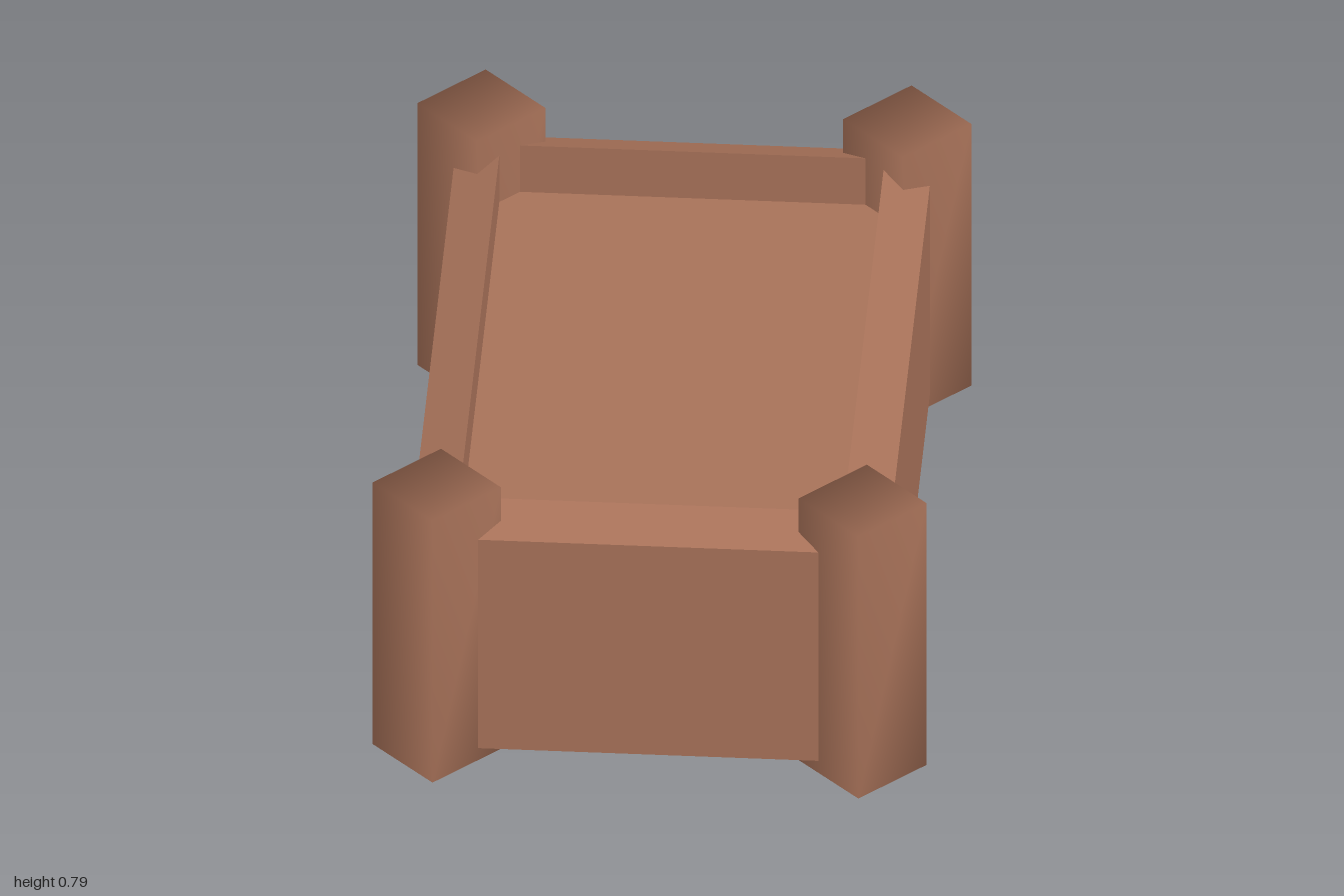
import * as THREE from 'three';
import { mergeVertices } from 'three/addons/utils/BufferGeometryUtils.js';

// Flat-faced solid from stacked rectangles [halfX, y, halfZ], capped at both ends
function rectLoft(rings) {
  const pos = [];
  const corner = ([x, y, z], i) => [[x, y, z], [x, y, -z], [-x, y, -z], [-x, y, z]][i % 4];
  const quad = (a, b, c, d) => pos.push(...a, ...b, ...c, ...a, ...c, ...d);
  for (let r = 0; r < rings.length - 1; r++) {
    const lo = rings[r], hi = rings[r + 1];
    for (let i = 0; i < 4; i++) quad(corner(lo, i), corner(lo, i + 1), corner(hi, i + 1), corner(hi, i));
  }
  const first = rings[0], last = rings[rings.length - 1];
  quad(corner(first, 3), corner(first, 2), corner(first, 1), corner(first, 0));
  quad(corner(last, 0), corner(last, 1), corner(last, 2), corner(last, 3));
  const g = new THREE.BufferGeometry();
  g.setAttribute('position', new THREE.Float32BufferAttribute(pos, 3));
  g.computeVertexNormals();
  return g;
}

// Square post with normals shared around its corners
function softPost(side, height) {
  const g = new THREE.BoxGeometry(side, height, side);
  g.deleteAttribute('normal');
  g.deleteAttribute('uv');
  const merged = mergeVertices(g);
  merged.computeVertexNormals();
  return merged;
}

export function createModel() {
  const model = new THREE.Group();
  model.name = 'planterBox';
  const clay = new THREE.MeshStandardMaterial({ color: 0xa87259 });
  clay.name = 'clayBrown';

  // Box: outer walls, sloped rim, inner walls down to the raised floor
  const box = new THREE.Mesh(rectLoft([
    [0.595, 0.036, 0.893],
    [0.595, 0.665, 0.893],
    [0.48, 0.715, 0.78],
    [0.48, 0.575, 0.78],
  ]), clay);
  box.name = 'box';
  model.add(box);

  // Corner posts, turned to stand as diamonds
  const half = 0.16, height = 0.79;
  const postGeometry = softPost(half * Math.SQRT2, height);
  for (const sx of [1, -1]) for (const sz of [1, -1]) {
    const post = new THREE.Mesh(postGeometry, clay);
    post.name = (sz > 0 ? 'front' : 'back') + (sx > 0 ? 'Left' : 'Right') + 'Post';
    post.position.set(sx * 0.532, height / 2, sz * 0.84);
    post.rotation.y = Math.PI / 4;
    model.add(post);
  }
  return model;
}
